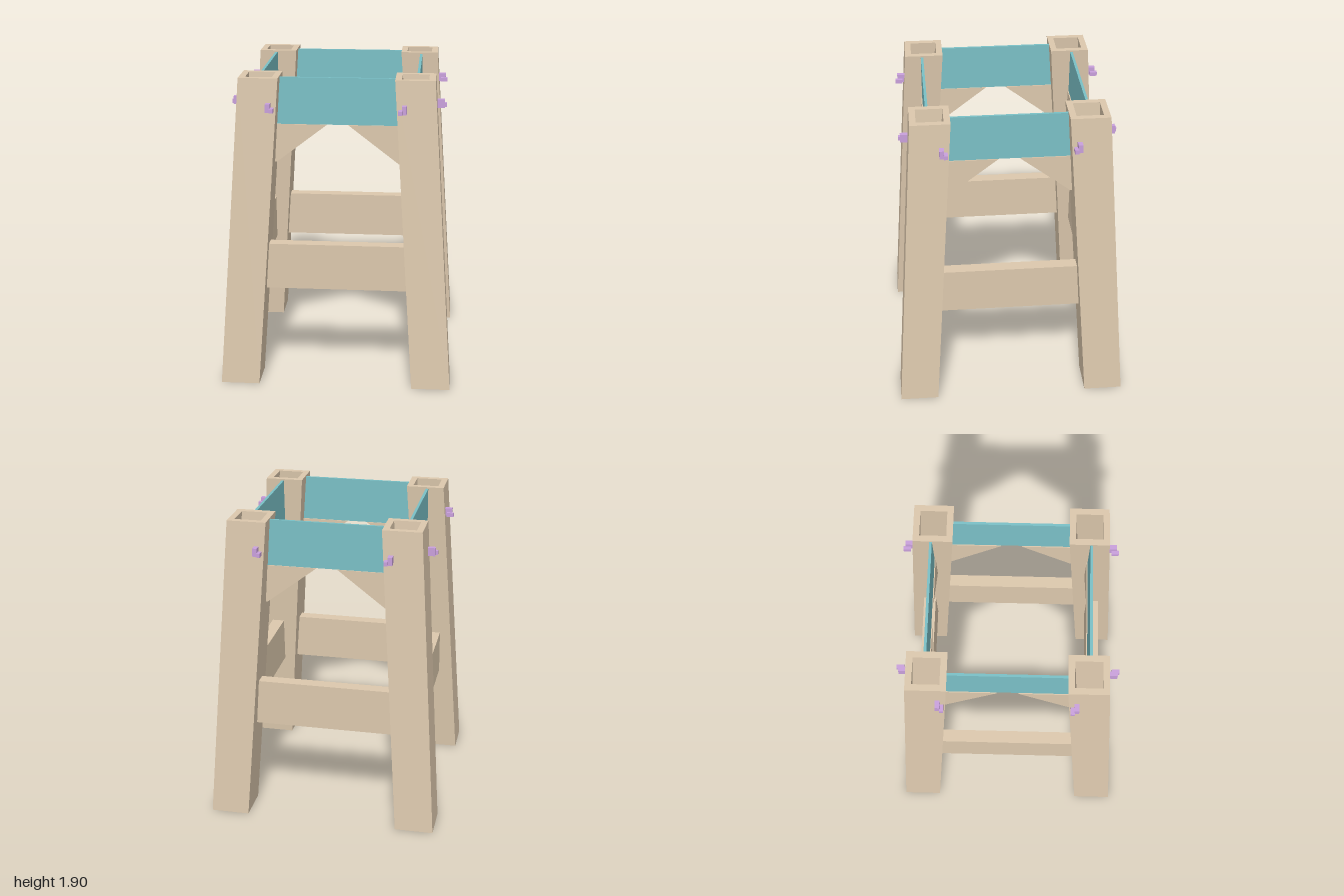
import * as THREE from 'three';

const HEIGHT = 1.9, FLOOR = 1.32, R = 0.167, HOLE = 0.113;

// distance of a leaning leg's axis from the centre at height y
const axis = (y) => 0.833 - 0.0937 * y;
// half length of the gap between two neighbouring legs, plus a little embedding
const reach = (y) => axis(y) / Math.SQRT2 - R / Math.SQRT2 + 0.006;

// lean a geometry along the leg axis and give it flat faces
function lean(geometry) {
  const g = geometry.toNonIndexed();
  const p = g.attributes.position;
  for (let i = 0; i < p.count; i++) p.setZ(i, p.getZ(i) + axis(p.getY(i)));
  g.computeVertexNormals();
  return g;
}

// flat panel with an outline in x/y, centred on z
function panel(points, thickness, z) {
  const shape = new THREE.Shape(points.map(([x, y]) => new THREE.Vector2(x, y)));
  const g = new THREE.ExtrudeGeometry(shape, { depth: thickness, bevelEnabled: false });
  return g.translate(0, 0, z - thickness / 2);
}

// panel filling the gap between two legs from y0 to y1
const span = (y0, y1, thickness, z) => panel(
  [[-reach(y0), y0], [reach(y0), y0], [reach(y1), y1], [-reach(y1), y1]], thickness, z);

export function createModel() {
  const wood = new THREE.MeshStandardMaterial({ color: 0xdcc8ad });
  wood.name = 'pale wood';
  const teal = new THREE.MeshStandardMaterial({ color: 0x7ac0c6 });
  teal.name = 'teal';
  const purple = new THREE.MeshStandardMaterial({ color: 0xc9a0dc });
  purple.name = 'light purple';
  const orange = new THREE.MeshStandardMaterial({ color: 0xd9ae7a });
  orange.name = 'warm orange';

  const model = new THREE.Group();
  model.name = 'trestle frame';
  const add = (parent, geometry, material, name) => {
    const mesh = new THREE.Mesh(geometry, material);
    mesh.name = name;
    parent.add(mesh);
    return mesh;
  };

  // square leg with a hollow top
  const profile = [[0, 0], [R, 0], [R, HEIGHT], [HOLE, HEIGHT], [HOLE, FLOOR]];
  const legGeometry = lean(new THREE.LatheGeometry(
    profile.map(([x, y]) => new THREE.Vector2(x, y)), 4));
  const floorGeometry = lean(new THREE.CircleGeometry(HOLE, 4)
    .rotateX(-Math.PI / 2).translate(0, FLOOR, 0));

  // parts between two legs
  const railGeometry = span(0.59, 0.875, 0.078, 0.765 / Math.SQRT2);
  const apronZ = 0.672 / Math.SQRT2;
  const apronGeometry = span(1.605, 1.89, 0.016, apronZ);

  for (let k = 0; k < 4; k++) {
    const leg = new THREE.Group();
    leg.name = 'leg';
    leg.rotation.y = k * Math.PI / 2;
    add(leg, legGeometry, wood, 'legPost');
    add(leg, floorGeometry, orange, 'socketFloor');
    model.add(leg);

    const side = new THREE.Group();
    side.name = 'side';
    side.rotation.y = k * Math.PI / 2 + Math.PI / 4;
    add(side, railGeometry, wood, 'lowerRail');
    add(side, apronGeometry, teal, 'apron');

    for (const s of [-1, 1]) {
      // corner brace below the apron
      const outline = [[0.064, 1.605], [0.369, 1.37], [reach(1.37), 1.37], [reach(1.605), 1.605]];
      add(side, panel(outline.map(([x, y]) => [s * x, y]), 0.028, apronZ), wood, 'cornerBrace');

      // stepped peg on the leg's outer face
      const face = (axis(1.73) + R) / Math.SQRT2;
      const block = add(side, new THREE.BoxGeometry(0.028, 0.05, 0.048), purple, 'pegBlock');
      block.position.set(s * 0.402, 1.73, face + 0.02);
      const tongue = add(side, new THREE.BoxGeometry(0.024, 0.025, 0.044), purple, 'pegTongue');
      tongue.position.set(s * 0.379, 1.7175, face + 0.034);
    }
    model.add(side);
  }
  return model;
}
